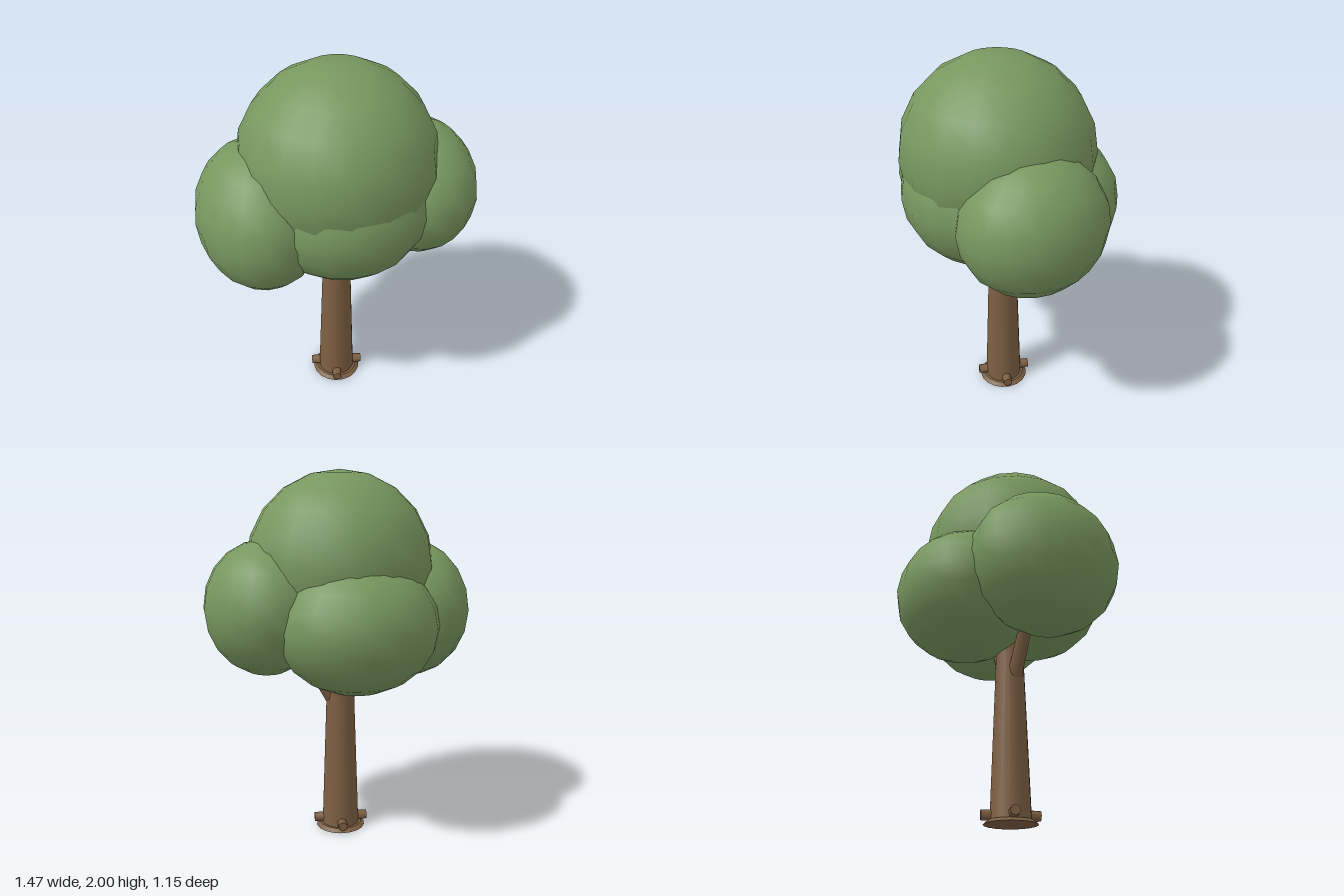
import * as THREE from 'three';

const AXIS_Z = 0.053; // depth of the trunk axis

export function createModel() {
  const tree = new THREE.Group();
  tree.name = 'tree';
  const leaf = new THREE.MeshStandardMaterial({ color: 0x78975f });
  leaf.name = 'leaf green';
  const bark = new THREE.MeshStandardMaterial({ color: 0x7d5f42 });
  bark.name = 'bark brown';

  function add(name, geometry, material) {
    const mesh = new THREE.Mesh(geometry, material);
    mesh.name = name;
    tree.add(mesh);
    return mesh;
  }

  // Tapered round limb between two points
  function limb(name, from, to, r0, r1, sides) {
    const a = new THREE.Vector3(...from);
    const b = new THREE.Vector3(...to);
    const dir = b.clone().sub(a);
    const mesh = add(name, new THREE.CylinderGeometry(r1, r0, dir.length(), sides), bark);
    mesh.position.copy(a).add(b).multiplyScalar(0.5);
    mesh.quaternion.setFromUnitVectors(new THREE.Vector3(0, 1, 0), dir.normalize());
  }

  // Trunk with a thin flared foot
  limb('trunk', [0, 0, AXIS_Z], [0, 1.25, AXIS_Z], 0.105, 0.062, 18);
  limb('trunkFoot', [0, 0, AXIS_Z], [0, 0.018, AXIS_Z], 0.138, 0.118, 18);

  // Side branches reaching into the crown
  for (const side of [1, -1]) {
    limb(side > 0 ? 'leftBranch' : 'rightBranch',
      [side * 0.045, 0.765, AXIS_Z + 0.007], [side * 0.27, 1.15, AXIS_Z + 0.012], 0.042, 0.034, 8);
  }

  // Four root stubs around the foot
  for (let i = 0; i < 4; i++) {
    const angle = -0.27 + i * Math.PI / 2;
    const x = Math.sin(angle), z = Math.cos(angle);
    limb('root' + (i + 1), [x * 0.05, 0.045, AXIS_Z + z * 0.05],
      [x * 0.15, 0.045, AXIS_Z + z * 0.15], 0.03, 0.026, 7);
  }

  // Crown: overlapping stretched balls, as name, centre, radii
  const clumps = [
    ['crownTop', [-0.005, 1.5, 0.073], [0.505, 0.5, 0.502]],
    ['crownFront', [0, 1.3, 0.2], [0.43, 0.37, 0.382]],
    ['crownBack', [0, 1.2, -0.2], [0.433, 0.35, 0.382]],
    ['crownLeft', [0.41, 1.285, 0.088], [0.322, 0.357, 0.383]],
    ['crownRight', [-0.41, 1.25, 0.065], [0.324, 0.385, 0.402]],
  ];
  for (const [name, centre, radii] of clumps) {
    const ball = add(name, new THREE.SphereGeometry(1, 18, 10), leaf);
    ball.position.set(...centre);
    ball.scale.set(...radii);
  }
  return tree;
}
